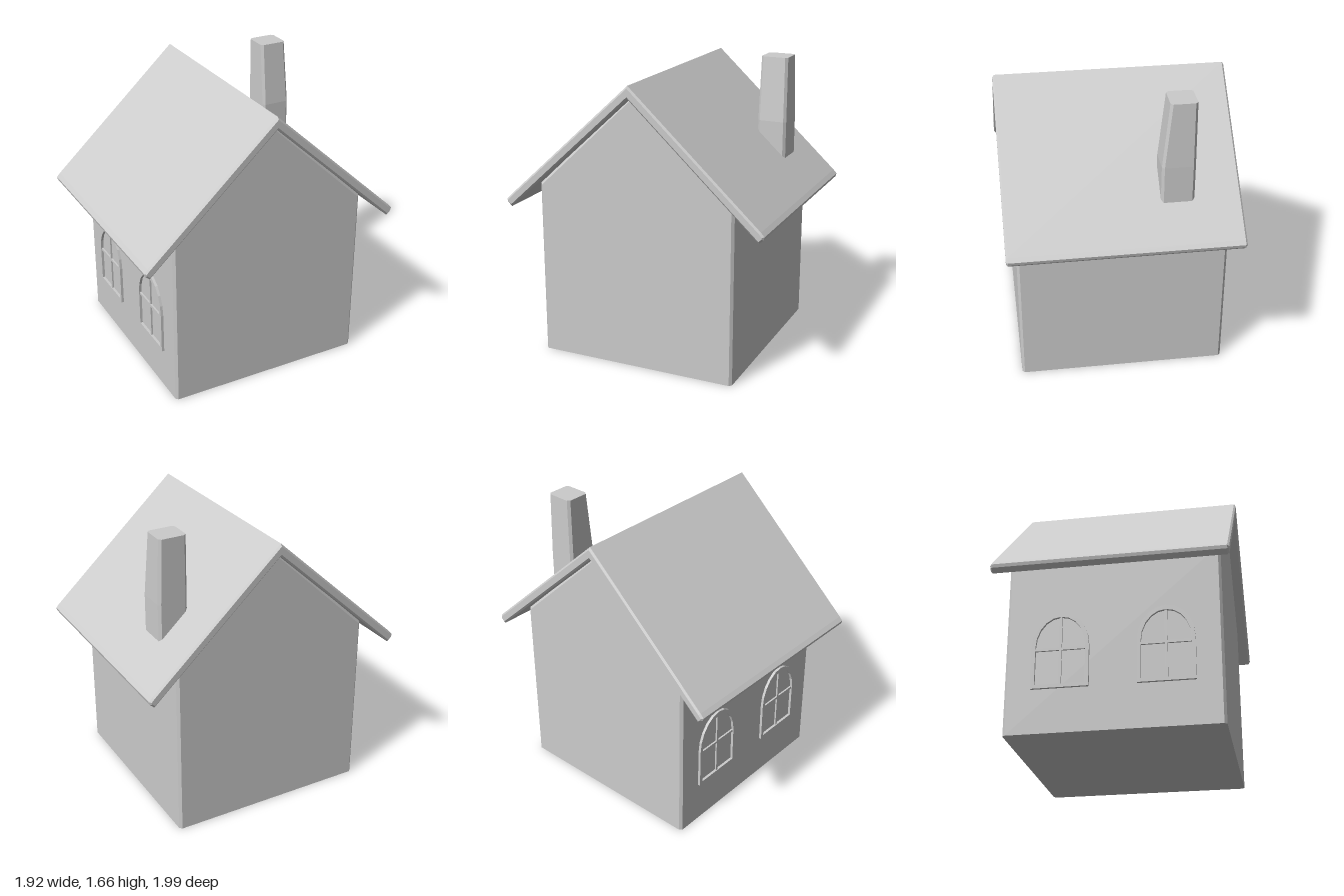
import * as THREE from 'three';

const grey = new THREE.MeshStandardMaterial({ color: 0xcccccc, flatShading: true });

function addMesh(parent, name, geometry) {
  const mesh = new THREE.Mesh(geometry, grey);
  mesh.name = name;
  parent.add(mesh);
  return mesh;
}

const shapeOf = (points) => new THREE.Shape(points.map(([x, y]) => new THREE.Vector2(x, y)));

// Extrudes a gable-end outline along x with a small chamfer round both ends
function ridgeExtrude(points, length, bevel) {
  const geometry = new THREE.ExtrudeGeometry(shapeOf(points), {
    depth: length - 2 * bevel, bevelEnabled: true, bevelThickness: bevel,
    bevelSize: bevel, bevelOffset: -bevel, bevelSegments: 1,
  });
  return geometry.translate(0, 0, -length / 2 + bevel).rotateY(Math.PI / 2);
}

function moveVertices(geometry, rule) {
  const pos = geometry.attributes.position;
  const p = new THREE.Vector3();
  for (let i = 0; i < pos.count; i++) {
    rule(p.fromBufferAttribute(pos, i));
    pos.setXYZ(i, p.x, p.y, p.z);
  }
  geometry.computeVertexNormals();
  return geometry;
}

// Arched outline: straight sides below, half ellipse above
function archPath(path, halfWidth, bottom, spring, top) {
  path.moveTo(-halfWidth, bottom);
  path.lineTo(halfWidth, bottom);
  path.lineTo(halfWidth, spring);
  path.absellipse(0, spring, halfWidth, top - spring, 0, Math.PI, false, 0);
  path.closePath();
  return path;
}

function createWindow() {
  const win = new THREE.Group();
  win.name = 'window';
  const outline = archPath(new THREE.Shape(), 0.155, 0.245, 0.478, 0.675);
  outline.holes.push(archPath(new THREE.Path(), 0.135, 0.265, 0.478, 0.65));
  addMesh(win, 'windowFrame', new THREE.ExtrudeGeometry(outline, {
    depth: 0.025, bevelEnabled: false, curveSegments: 5,
  })).position.z = -0.01;
  addMesh(win, 'windowMullion', new THREE.BoxGeometry(0.014, 0.4, 0.02)).position.y = 0.458;
  addMesh(win, 'windowCrossbar', new THREE.BoxGeometry(0.28, 0.014, 0.02)).position.y = 0.465;
  return win;
}

export function createModel() {
  const model = new THREE.Group();
  model.name = 'house';
  const house = new THREE.Group();
  house.name = 'houseBody';
  house.rotation.y = -0.597;
  model.add(house);

  // Walls with gable ends, flat at the ground
  const h = 0.583;
  const walls = ridgeExtrude([[-h, 0], [h, 0], [h, 1.01], [0, 1.56], [-h, 1.01]], 2 * h, 0.014);
  addMesh(house, 'walls', moveVertices(walls, (p) => { if (p.y < 0.05) p.y = 0; }));

  // Pitched roof slab with chamfered eaves
  const eave = [[0.752, 0.93], [0.772, 0.908], [0.767, 0.89], [0.742, 0.868]];
  const roofOutline = [
    [0, 1.55],
    ...[...eave].reverse(),
    [0, 1.622],
    ...eave.map(([x, y]) => [-x, y]),
  ];
  addMesh(house, 'roof', ridgeExtrude(roofOutline, 1.286, 0.01));

  // Chimney: chamfered column that flares out below its middle ring
  const w = 0.0725, d = 0.079, c = 0.014;
  const column = new THREE.ExtrudeGeometry(shapeOf([
    [w - c, -d], [w, -d + c], [w, d - c], [w - c, d],
    [-w + c, d], [-w, d - c], [-w, -d + c], [-w + c, -d],
  ]), { depth: 0.73, steps: 2, bevelEnabled: false }).rotateX(-Math.PI / 2);
  moveVertices(column, (p) => {
    if (p.y > 0.5) return;
    if (p.x > 0) p.x += 0.037;
    if (p.z < 0) p.z -= 0.012;
  });
  addMesh(house, 'chimney', column).position.set(-0.312, 0.935, -0.489);

  // Two arched windows on the front wall
  for (const x of [-0.283, 0.283]) {
    const win = createWindow();
    win.position.set(x, 0, h);
    house.add(win);
  }
  return model;
}
